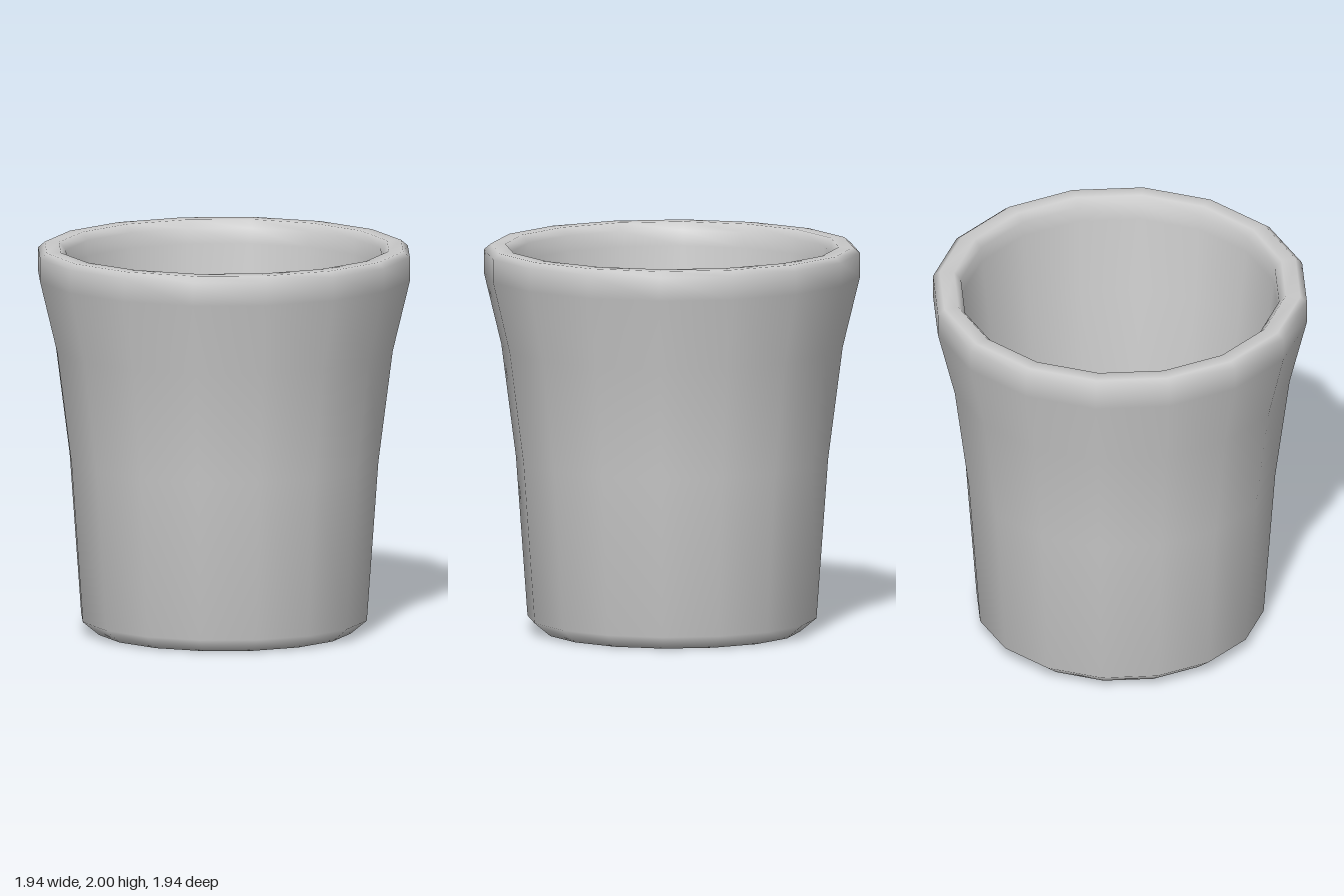
import * as THREE from 'three';

export function createModel() {
  const group = new THREE.Group();
  group.name = 'cup';

  // Closed wall profile (radius, height): under the base, up the outside, over the rim, down the inside
  const profile = [
    [0, 0], [0.66, 0], [0.745, 0.07],                                   // base and chamfer
    [0.805, 0.9], [0.88, 1.48], [0.97, 1.85],                           // flared outside
    [0.97, 1.97], [0.935, 2], [0.86, 2], [0.825, 1.96], [0.82, 1.88],   // rounded rim
    [0.77, 1.48], [0.7, 0.9], [0.64, 0.16], [0, 0.12],                  // inside and floor
  ].map(([r, y]) => new THREE.Vector2(r, y));

  const cup = new THREE.Mesh(
    new THREE.LatheGeometry(profile, 16),
    new THREE.MeshStandardMaterial({ color: 0xcccccc })
  );
  cup.name = 'cupBody';
  group.add(cup);
  return group;
}
